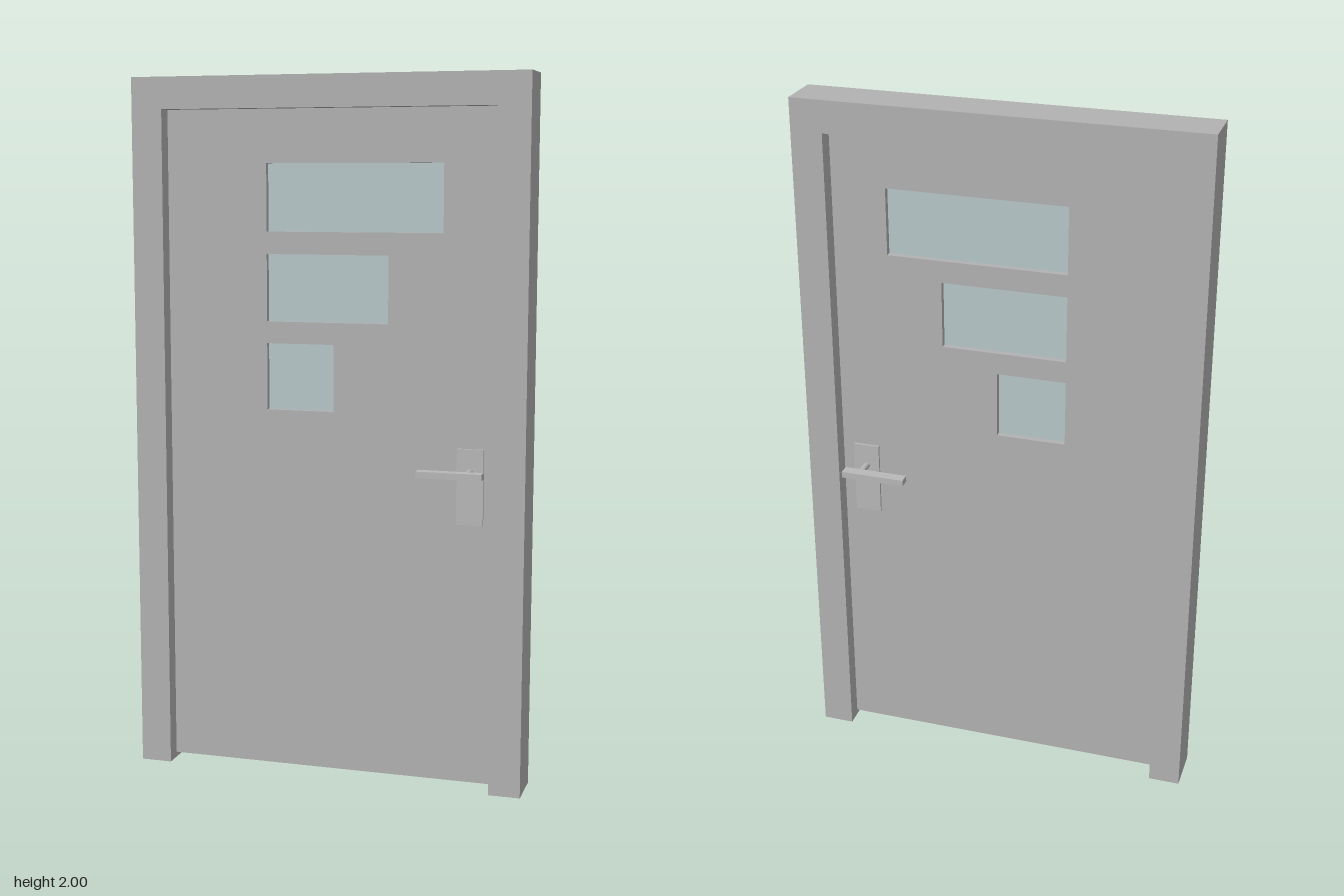
import * as THREE from 'three';

const W = 0.57, H = 2, D = 0.132;        // frame half width, height, depth
const IN = 0.48, TOP = 1.91;             // frame opening
const LEAF = 0.04, GLASS = 0.006;        // door leaf and pane thickness

const mat = (name, color) => {
  const m = new THREE.MeshStandardMaterial({ color });
  m.name = name;
  return m;
};

// closed outline from corner points
const outline = (Type, pts) => new Type(pts.map(([x, y]) => new THREE.Vector2(x, y)));
const rect = (x0, y0, x1, y1) => [[x0, y0], [x1, y0], [x1, y1], [x0, y1]];

// extrusion centred on z = 0
function slab(shape, depth) {
  const g = new THREE.ExtrudeGeometry(shape, { depth, bevelEnabled: false });
  return g.translate(0, 0, -depth / 2);
}

export function createModel() {
  const model = new THREE.Group();
  model.name = 'door';
  const grey = mat('doorGrey', 0xb2b2b2);
  const metal = mat('handleMetal', 0xb8b8b8);
  const glass = mat('paleGlass', 0xb9c8ca);

  const add = (parent, name, geometry, material) => {
    const mesh = new THREE.Mesh(geometry, material);
    mesh.name = name;
    parent.add(mesh);
    return mesh;
  };
  const box = (parent, name, material, x0, x1, y0, y1, z0, z1) => {
    const g = new THREE.BoxGeometry(x1 - x0, y1 - y0, z1 - z0);
    g.translate((x0 + x1) / 2, (y0 + y1) / 2, (z0 + z1) / 2);
    return add(parent, name, g, material);
  };

  // frame: two posts and a head in one piece, open at the floor
  const frame = outline(THREE.Shape, [
    [-W, 0], [-IN, 0], [-IN, TOP], [IN, TOP], [IN, 0], [W, 0], [W, H], [-W, H],
  ]);
  add(model, 'frame', slab(frame, D), grey);

  // leaf with three stepped windows
  const windows = [
    rect(-0.185, 1.57, 0.325, 1.76),
    rect(-0.185, 1.317, 0.17, 1.507),
    rect(-0.185, 1.065, 0.012, 1.255),
  ];
  const leaf = outline(THREE.Shape, rect(-IN, 0.015, IN, TOP));
  windows.forEach((w) => leaf.holes.push(outline(THREE.Path, w)));
  add(model, 'leaf', slab(leaf, LEAF), grey);
  windows.forEach((w, i) => {
    add(model, `windowPane${i + 1}`, slab(outline(THREE.Shape, w), GLASS), glass);
  });

  // a handle on each face, both by the same edge
  for (const [side, s] of [['front', 1], ['back', -1]]) {
    const handle = new THREE.Group();
    handle.name = `${side}Handle`;
    const part = (name, x0, x1, y0, y1, z0, z1) => box(
      handle, name, metal, x0, x1, y0, y1, Math.min(s * z0, s * z1), Math.max(s * z0, s * z1),
    );
    part('backplate', 0.37, 0.446, 0.762, 0.977, LEAF / 2, 0.027);
    part('lever', 0.27, 0.456, 0.903, 0.921, 0.072, 0.104);
    const spindle = new THREE.CylinderGeometry(0.009, 0.009, 0.052, 16);
    spindle.rotateX(Math.PI / 2).translate(0.408, 0.912, s * 0.051);
    add(handle, 'spindle', spindle, metal);
    model.add(handle);
  }
  return model;
}
